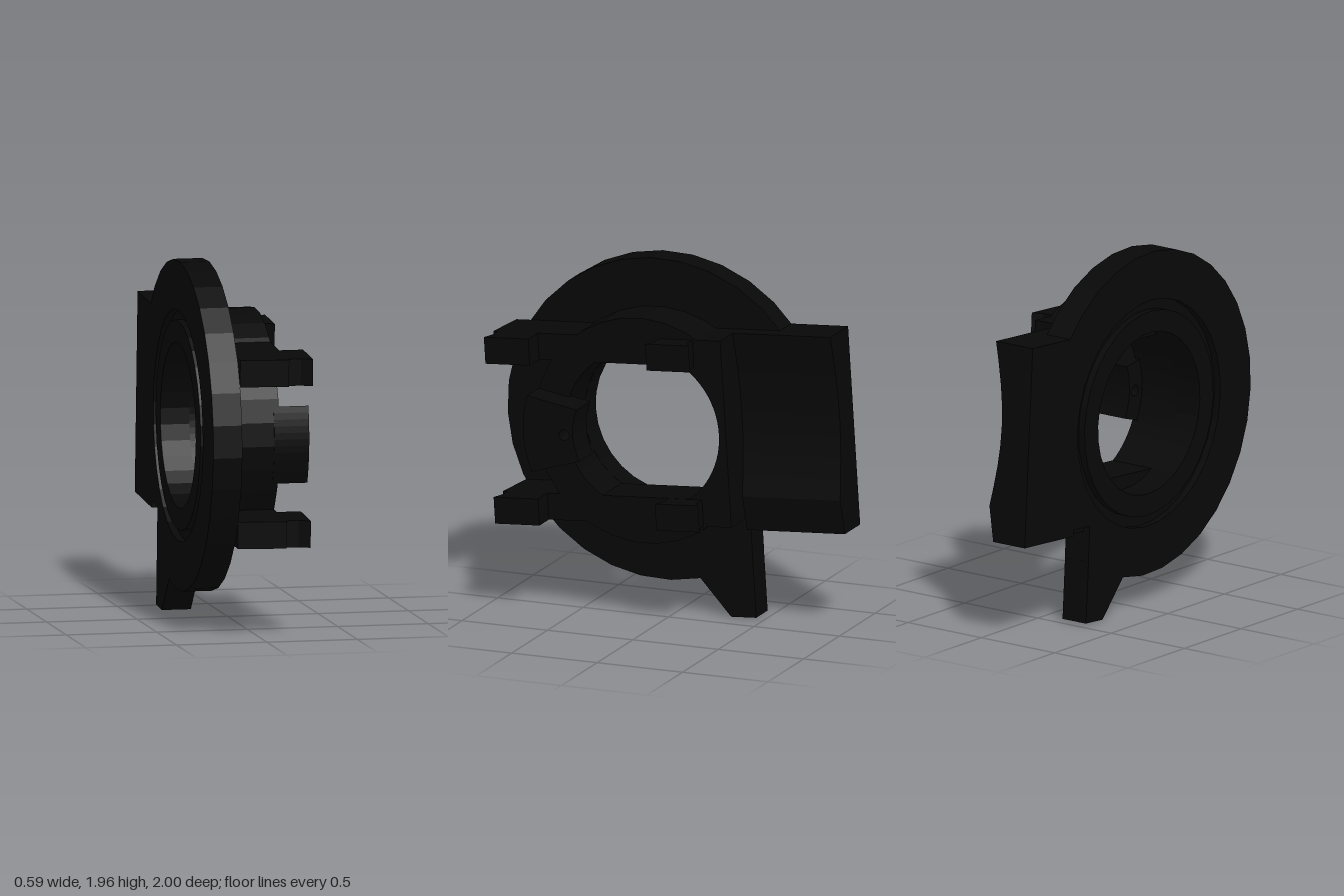
import * as THREE from 'three';

const black = new THREE.MeshStandardMaterial({ color: 0x080808 });
black.name = 'matte black';

const polygon = (pts) => new THREE.Shape(pts.map(([x, y]) => new THREE.Vector2(x, y)));
const circleHole = (r, x = 0, y = 0) => new THREE.Path().absarc(x, y, r, 0, Math.PI * 2, true);

export function createModel() {
  const model = new THREE.Group();
  model.name = 'ringMount';

  // Working frame: u runs to the rear, v up, depth out to the side; tilted slightly
  const facing = new THREE.Group();
  facing.name = 'sideFacing';
  facing.rotation.y = Math.PI / 2;
  model.add(facing);
  const frame = new THREE.Group();
  frame.name = 'tiltedBody';
  frame.position.set(-0.1, 1.067, 0);
  frame.rotation.z = 0.064;
  facing.add(frame);

  const extrude = (name, shape, from, to, curveSegments = 16) => {
    const geo = new THREE.ExtrudeGeometry(shape, { depth: to - from, bevelEnabled: false, curveSegments });
    geo.translate(0, 0, from);
    const mesh = new THREE.Mesh(geo, black);
    mesh.name = name;
    frame.add(mesh);
    return mesh;
  };

  // Large 32-sided disc, cut away behind the foot and below the slab
  const disc = (hole) => {
    const pts = [];
    for (let i = 0; i <= 26; i++) {
      const a = (i * Math.PI) / 16;
      pts.push([0.899 * Math.cos(a), 0.899 * Math.sin(a)]);
    }
    pts.push([0.489, -0.75], [0.489, -0.55], [0.899, -0.55]);
    const shape = polygon(pts);
    shape.holes.push(circleHole(hole));
    return shape;
  };
  extrude('discRim', disc(0.63), -0.295, -0.255);
  extrude('discPlate', disc(0.45), -0.255, -0.135);

  // Raised lip around the bore, leaving a groove in the back of the disc
  const lip = new THREE.Shape().absarc(0, 0, 0.57, 0, Math.PI * 2, false);
  lip.holes.push(circleHole(0.45));
  extrude('boreLip', lip, -0.295, -0.255);

  // Lower foot
  extrude('foot', polygon([[0.165, -0.87], [0.341, -1.09], [0.488, -1.09], [0.488, -0.55], [0.2, -0.8]]), -0.295, -0.135);

  // Hub, cut straight at the rear, with a bore flattened above and below
  const cut = Math.acos(0.49 / 0.63);
  const hub = new THREE.Shape().absarc(0, 0, 0.63, cut, Math.PI * 2 - cut, false);
  hub.closePath();
  const flat = Math.asin(0.371 / 0.45);
  const bore = new THREE.Path();
  bore.absarc(0, 0, 0.45, -flat, flat, false);
  bore.absarc(0, 0, 0.45, Math.PI - flat, Math.PI + flat, false);
  bore.closePath();
  hub.holes.push(bore);
  extrude('hub', hub, -0.135, 0.13, 12);

  // Rails with dovetail blocks, above and below the bore
  const railProfile = polygon([
    [-0.815, -0.135], [0.49, -0.135], [0.49, 0.13], [0.327, 0.13], [0.327, 0.2], [0.357, 0.255],
    [0.103, 0.255], [0.133, 0.2], [0.133, 0.13], [-0.58, 0.13], [-0.58, 0.262], [-0.84, 0.262],
    [-0.815, 0.2], [-0.815, 0.13], [-0.84, 0.13],
  ]);
  for (const [name, top] of [['upperRail', 0.52], ['lowerRail', -0.372]]) {
    const rail = extrude(name, railProfile, 0, 0.148);
    rail.rotation.x = Math.PI / 2;
    rail.position.y = top;
  }

  // Front lug with a pin hole and a curved inner face, overhanging the bore
  const lug = new THREE.Shape();
  const half = 0.436;
  lug.absarc(0, 0, 0.63, Math.PI - 0.344, Math.PI + 0.344, false);
  lug.absarc(0, 0, 0.34, Math.PI + half, Math.PI - half, true);
  lug.closePath();
  lug.holes.push(circleHole(0.03, -0.39, 0));
  extrude('frontLug', lug, 0.1, 0.293, 6);

  // Rear slab: hollowed outer face between two ridges, chamfered along the bottom
  const slab = (name, back, from, to) => {
    const pts = [[-back, -0.585], [0.08, -0.585]];
    for (let i = 0; i <= 8; i++) {
      const t = i / 8;
      pts.push([0.045 + 0.062 * Math.sin(Math.PI * t), -0.39 + 0.911 * t]);
    }
    pts.push([-back, 0.521]);
    const mesh = extrude(name, polygon(pts), from, to);
    mesh.rotation.y = Math.PI / 2;
  };
  slab('rearSlab', -0.295, 0.63, 1.063);
  slab('rearSlabInner', -0.255, 0.49, 0.63);

  return model;
}
